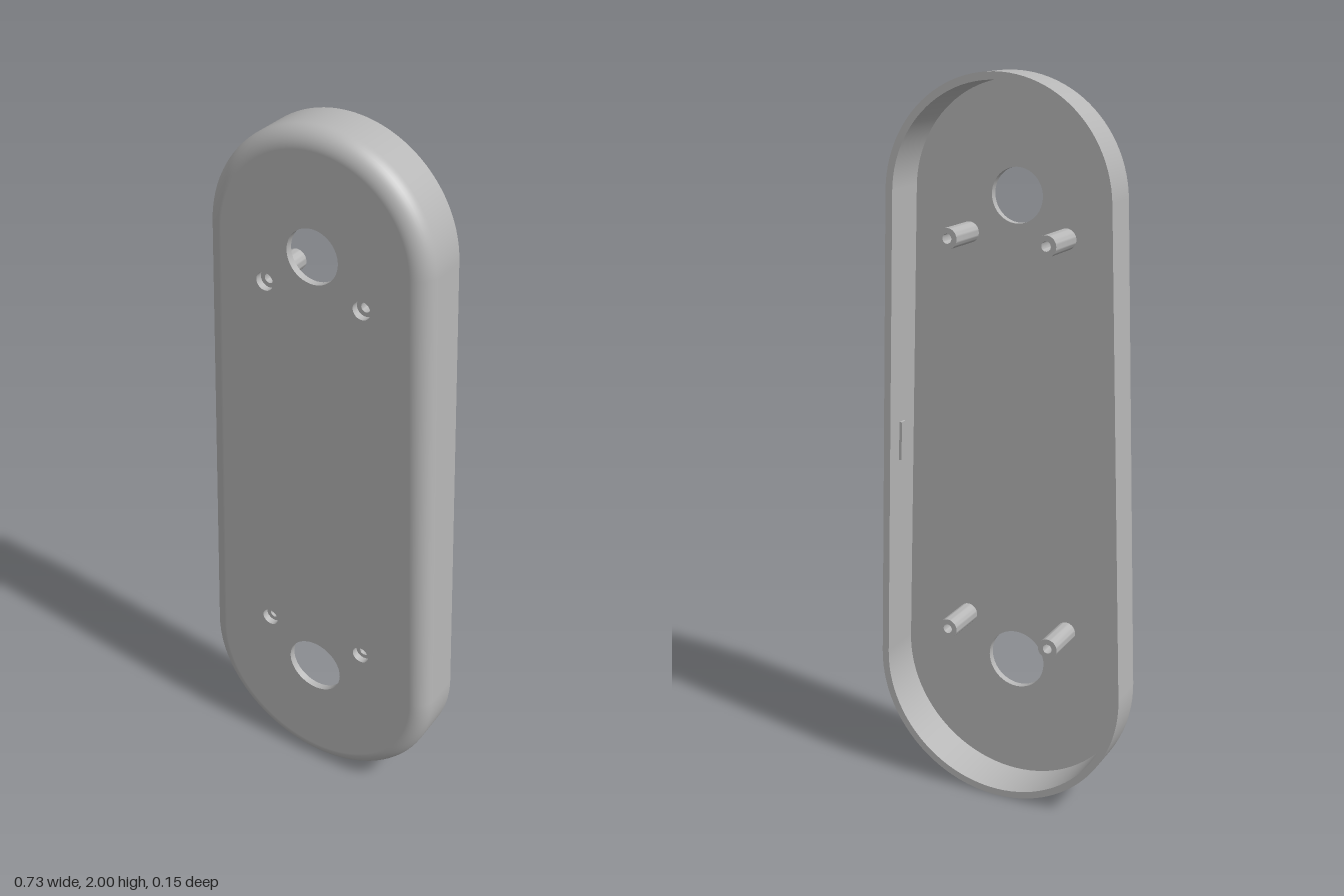
import * as THREE from 'three';
import { toCreasedNormals } from 'three/addons/utils/BufferGeometryUtils.js';

const TOP = { y: 1.683, r: 0.317 }, BOTTOM = { y: 0.365, r: 0.365 };
const BACK = -0.075, FRONT = 0.075, FLOOR = 0.055;
const WALL = 0.02, FILLET = 0.05;
const BIG_HOLES = [[0, 1.684, 0.073], [0, 0.37, 0.085]];
const POSTS = [[0.14, 1.58], [-0.14, 1.58], [0.153, 0.485], [-0.153, 0.485]];
const BORE = 0.025, POST_R = 0.028, SCREW_R = 0.013;

// Angle where the straight sides touch both end arcs
const TILT = Math.asin((BOTTOM.r - TOP.r) / (TOP.y - BOTTOM.y));

// Tapered outline, counterclockwise: end arc and angle for each point
function outline() {
  const pts = [], n = 48;
  const arc = (end, from, to) => {
    for (let i = 0; i <= n; i++) pts.push({ end, t: from + (to - from) * i / n });
  };
  arc(TOP, TILT, Math.PI - TILT);
  arc(BOTTOM, Math.PI - TILT, 2 * Math.PI + TILT);
  return pts;
}
const OUTLINE = outline();

function pointAt({ end, t }, inset) {
  const r = end.r - inset;
  return new THREE.Vector2(r * Math.cos(t), end.y + r * Math.sin(t));
}

// Sweeps a profile of [inset, z, outward normal, z normal] round the outline
function sweep(profile) {
  const pos = [], nor = [], idx = [], n = OUTLINE.length;
  profile.forEach(([inset, z, nr, nz], j) => {
    OUTLINE.forEach((o, i) => {
      const p = pointAt(o, inset);
      pos.push(p.x, p.y, z);
      nor.push(nr * Math.cos(o.t), nr * Math.sin(o.t), nz);
      if (j === 0) return;
      const k = (i + 1) % n, a = (j - 1) * n, b = j * n;
      idx.push(a + i, a + k, b + k, a + i, b + k, b + i);
    });
  });
  const g = new THREE.BufferGeometry();
  g.setAttribute('position', new THREE.Float32BufferAttribute(pos, 3));
  g.setAttribute('normal', new THREE.Float32BufferAttribute(nor, 3));
  g.setIndex(idx);
  return g;
}

function circle(Type, x, y, r) {
  return new Type().absarc(x, y, r, 0, Math.PI * 2, false);
}

// Flat plate face with the large holes and screw bores cut out
function plate(inset, z) {
  const shape = new THREE.Shape(OUTLINE.map(o => pointAt(o, inset)));
  BIG_HOLES.forEach(([x, y, r]) => shape.holes.push(circle(THREE.Path, x, y, r)));
  POSTS.forEach(([x, y]) => shape.holes.push(circle(THREE.Path, x, y, BORE)));
  return new THREE.ShapeGeometry(shape, 24).translate(0, 0, z);
}

export function createModel() {
  const model = new THREE.Group();
  const grey = new THREE.MeshStandardMaterial({ color: 0xb6b6b6, side: THREE.DoubleSide });
  grey.name = 'grey';
  const add = (name, geometry) => {
    const mesh = new THREE.Mesh(geometry, grey);
    mesh.name = name;
    model.add(mesh);
    return mesh;
  };

  // Outer wall with rounded front edge
  const skin = [[0, BACK, 1, 0]];
  for (let i = 0; i <= 10; i++) {
    const a = i / 10 * Math.PI / 2, c = Math.cos(a), s = Math.sin(a);
    skin.push([FILLET * (1 - c), FRONT - FILLET * (1 - s), c, s]);
  }
  add('outerWall', sweep(skin));
  add('backRim', sweep([[WALL, BACK, 0, -1], [0, BACK, 0, -1]]));
  add('innerWall', sweep([[WALL, FLOOR, -1, 0], [WALL, BACK, -1, 0]]));

  // Front face, and the cavity floor facing backwards
  add('frontFace', plate(FILLET, FRONT));
  const floor = plate(WALL, FLOOR);
  const index = floor.index.array;
  for (let i = 0; i < index.length; i += 3) [index[i], index[i + 1]] = [index[i + 1], index[i]];
  floor.computeVertexNormals();
  add('cavityFloor', floor);

  // Sides of every hole through the front plate
  const bores = POSTS.map(([x, y]) => [x, y, BORE]);
  [...BIG_HOLES, ...bores].forEach(([x, y, r]) => {
    const g = new THREE.CylinderGeometry(r, r, FRONT - FLOOR, 48, 1, true);
    add('holeSide', g.rotateX(Math.PI / 2).translate(x, y, (FRONT + FLOOR) / 2));
  });

  // Hollow screw posts
  const ring = circle(THREE.Shape, 0, 0, POST_R);
  ring.holes.push(circle(THREE.Path, 0, 0, SCREW_R));
  const postBack = -0.071;
  const post = toCreasedNormals(new THREE.ExtrudeGeometry(ring, {
    depth: FLOOR - postBack, bevelEnabled: false, curveSegments: 16,
  }), 0.7);
  POSTS.forEach(([x, y]) => add('screwPost', post).position.set(x, y, postBack));

  // Small catch ribs halfway up the inner side walls
  const ribY = 1.0;
  const ribX = (TOP.r - WALL - (ribY - TOP.y) * Math.sin(TILT)) / Math.cos(TILT);
  for (const side of [1, -1]) {
    const rib = add('catchRib', new THREE.BoxGeometry(0.016, 0.11, 0.022));
    rib.position.set(side * ribX, ribY, -0.015);
    rib.rotation.z = side * TILT;
  }
  return model;
}
